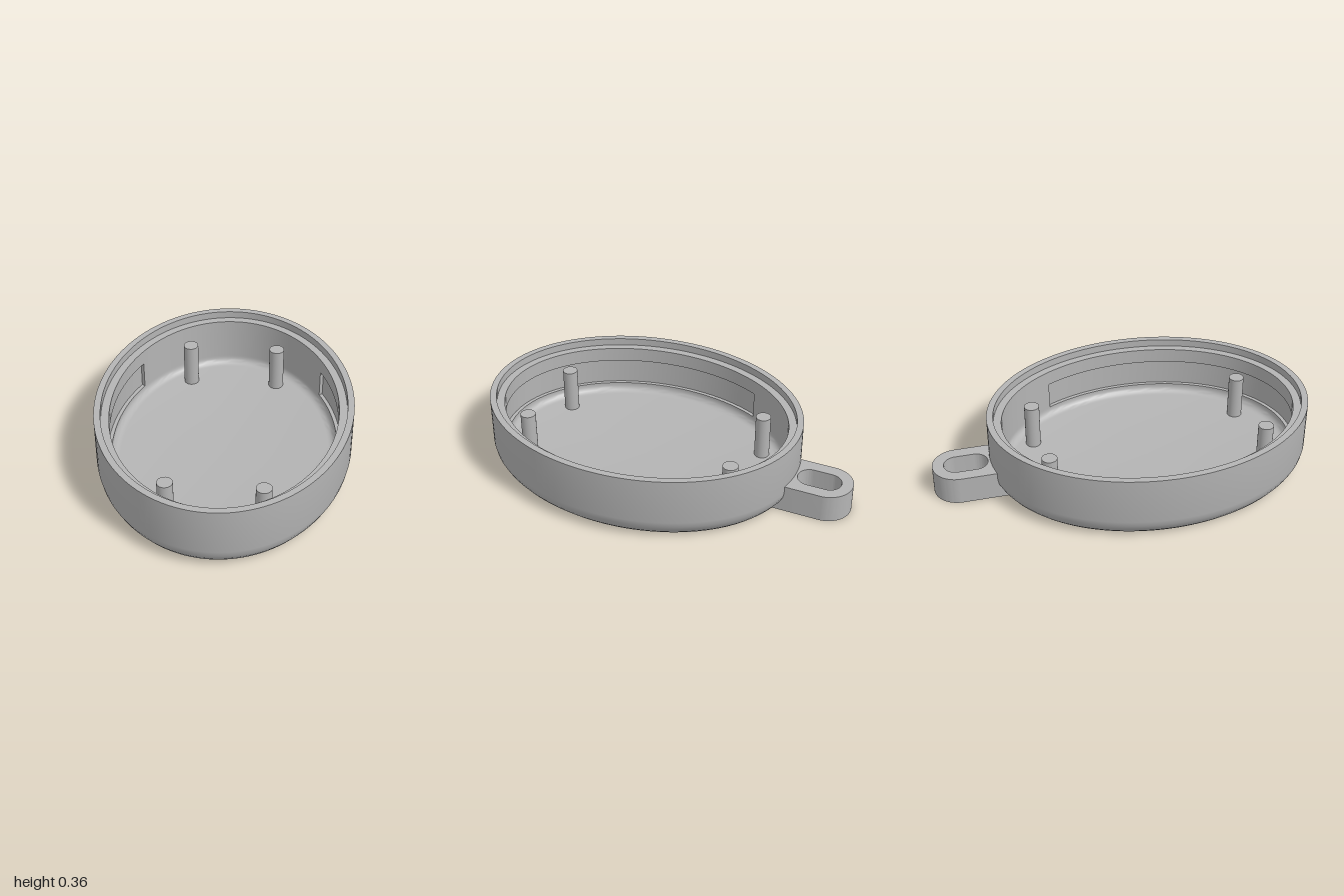
import * as THREE from 'three';
import { toCreasedNormals } from 'three/addons/utils/BufferGeometryUtils.js';

const A = 0.66, B = 0.85, CENTER_Z = 0.15; // outer ellipse
const WALL = 0.075, FLOOR = 0.04, RECESS_END = 2.17;

// Cross-section as [inset from the outer ellipse, y]; null inset is the centre.
function shellProfile(recessed) {
  const r = recessed ? 0.055 : WALL;
  const p = [[null, 0], [0.065, 0], [0.04, 0.025], [0.02, 0.052], [0.006, 0.08], [0, 0.11],
    [0, 0.36], [0.034, 0.36], [0.034, 0.32], [WALL, 0.32],
    [WALL, 0.24], [r, 0.24], [r, 0.09], [WALL, 0.09]];
  for (let i = 0; i <= 6; i++) { // fillet down to the floor
    const t = (i / 6) * Math.PI / 2;
    p.push([WALL + 0.04 * (1 - Math.cos(t)), FLOOR + 0.04 * (1 - Math.sin(t))]);
  }
  p.push([null, FLOOR]);
  return p;
}

// Sweep the profile round the ellipse; the wall is hollowed out along the front arc.
function shellGeometry() {
  const columns = [];
  const addArc = (from, to, n, recessed) => {
    for (let i = 0; i <= n; i++) columns.push({ phi: from + (to - from) * i / n, profile: shellProfile(recessed) });
  };
  addArc(-RECESS_END, RECESS_END, 88, true);
  addArc(RECESS_END, 2 * Math.PI - RECESS_END, 40, false);

  const pos = [], index = [], rows = columns[0].profile.length;
  columns.forEach(({ phi, profile }, j) => {
    const next = ((j + 1) % columns.length) * rows;
    profile.forEach(([inset, y], i) => {
      const rx = inset === null ? 0 : A - inset, rz = inset === null ? 0 : B - inset;
      pos.push(rx * Math.sin(phi), y, CENTER_Z + rz * Math.cos(phi));
      if (i === rows - 1) return;
      const a = j * rows + i, b = next + i;
      index.push(a, b, b + 1, a, b + 1, a + 1);
    });
  });
  const g = new THREE.BufferGeometry();
  g.setAttribute('position', new THREE.Float32BufferAttribute(pos, 3));
  g.setIndex(index);
  return toCreasedNormals(g, 0.6);
}

// Hanging loop outline, drawn with shape y = -z, then laid flat.
function loopGeometry() {
  const s = new THREE.Shape();
  s.moveTo(0.13, 0.612);
  s.lineTo(0.13, 0.87);
  s.absarc(0, 0.87, 0.13, 0, Math.PI, false);
  s.lineTo(-0.13, 0.612);
  s.quadraticCurveTo(0, 0.655, 0.13, 0.612);
  const slot = new THREE.Path();
  slot.absarc(0, 0.875, 0.066, 0, Math.PI, false);
  slot.absarc(0, 0.777, 0.066, Math.PI, 2 * Math.PI, false);
  slot.closePath();
  s.holes.push(slot);
  const g = new THREE.ExtrudeGeometry(s, { depth: 0.15, bevelEnabled: false, curveSegments: 24 });
  g.rotateX(-Math.PI / 2);
  return toCreasedNormals(g, 0.6);
}

export function createModel() {
  const group = new THREE.Group();
  group.name = 'ovalCase';
  const grey = new THREE.MeshStandardMaterial({ color: 0xb4b4b4 });
  grey.name = 'grey';

  const add = (geometry, name) => {
    const mesh = new THREE.Mesh(geometry, grey);
    mesh.name = name;
    group.add(mesh);
    return mesh;
  };

  add(shellGeometry(), 'shell');
  add(loopGeometry(), 'hangingLoop');

  // Four screw posts standing on the floor
  const postGeometry = new THREE.CylinderGeometry(0.04, 0.04, 0.25, 32);
  for (const x of [-0.238, 0.238]) {
    for (const z of [-0.43, 0.72]) add(postGeometry, 'post').position.set(x, 0.155, z);
  }
  return group;
}
